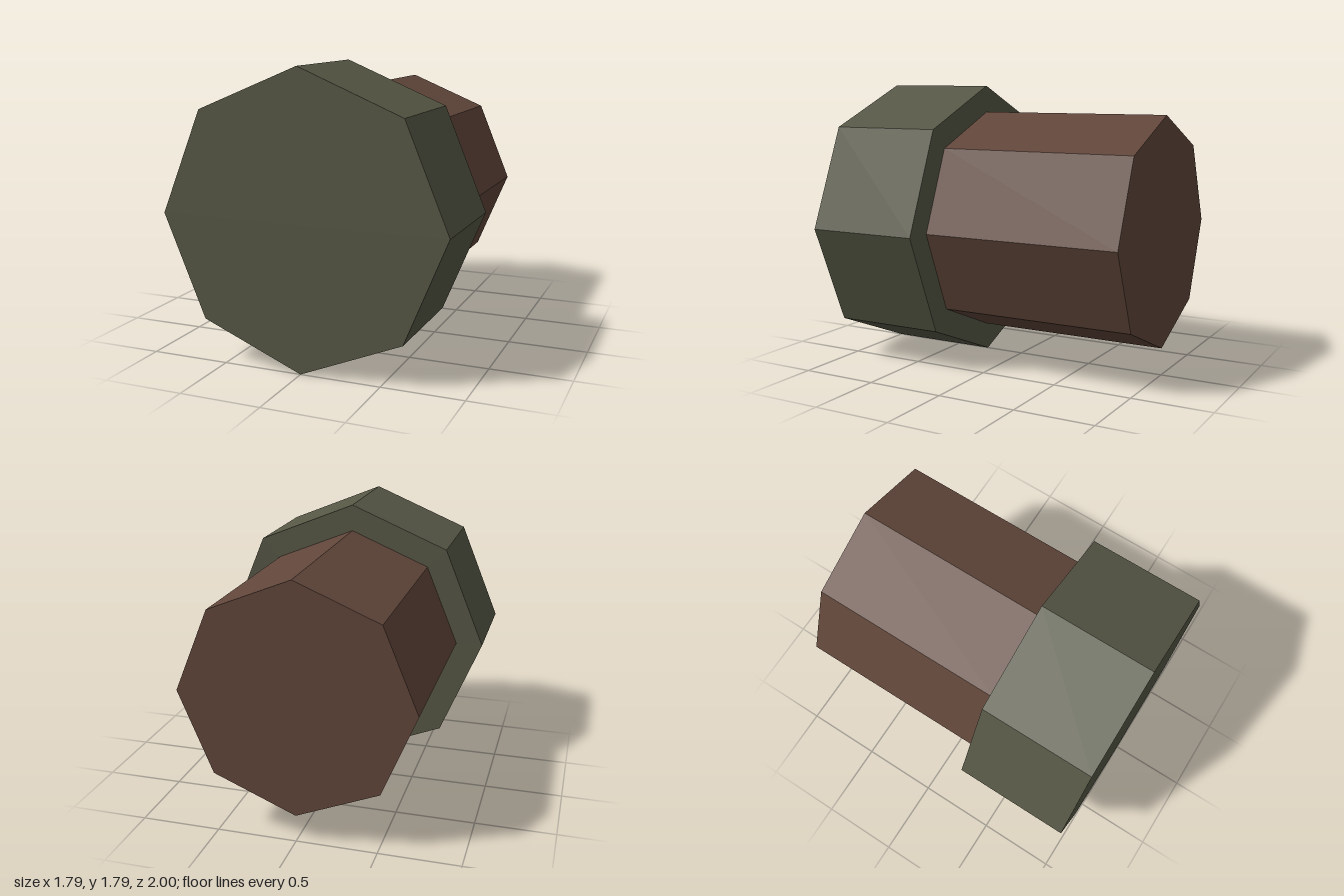
import * as THREE from 'three';

const CENTRE_Y = 0.897;

// Octagonal prism lying along z, with a corner pointing straight up
function prism(name, radius, zBack, zFront, material) {
  const geometry = new THREE.CylinderGeometry(radius, radius, zFront - zBack, 8);
  geometry.rotateX(Math.PI / 2);
  const mesh = new THREE.Mesh(geometry, material);
  mesh.name = name;
  mesh.position.set(0, CENTRE_Y, (zBack + zFront) / 2);
  return mesh;
}

export function createModel() {
  const green = new THREE.MeshStandardMaterial({ color: 0x565745, flatShading: true });
  green.name = 'olive green';
  const brown = new THREE.MeshStandardMaterial({ color: 0x61463a, flatShading: true });
  brown.name = 'reddish brown';

  const model = new THREE.Group();
  model.name = 'stopper';
  // Wide head at the front, narrower shaft behind it
  model.add(prism('head', 0.897, 0.265, 1, green));
  model.add(prism('shaft', 0.725, -1, 0.265, brown));
  return model;
}
